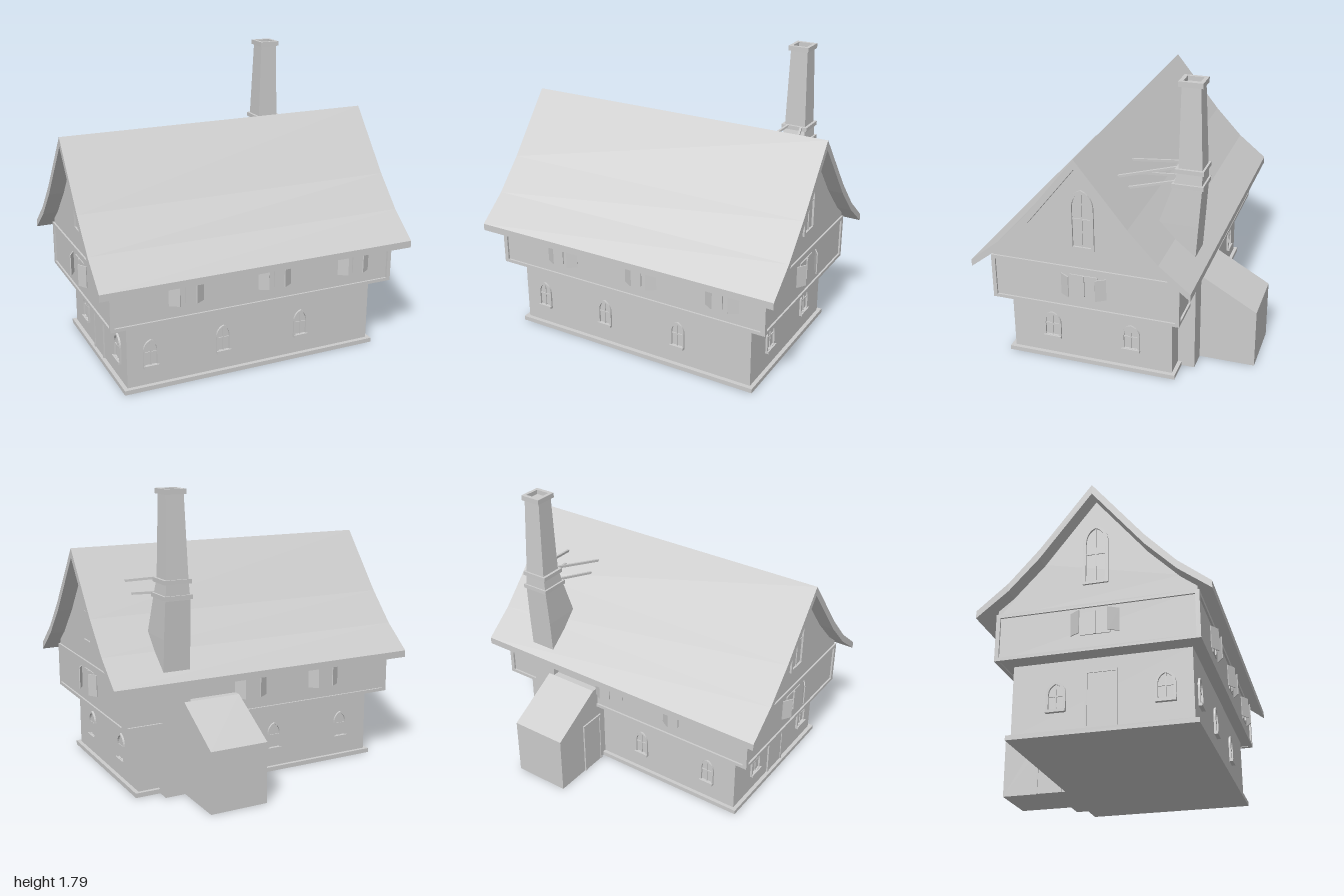
import * as THREE from 'three';

const mat = new THREE.MeshStandardMaterial({ color: 0xcccccc, flatShading: true, side: THREE.DoubleSide });

function add(parent, name, geo) {
  const m = new THREE.Mesh(geo, mat);
  m.name = name;
  parent.add(m);
  return m;
}

// Box given by its extents
function box(parent, name, x0, x1, y0, y1, z0, z1) {
  const m = add(parent, name, new THREE.BoxGeometry(x1 - x0, y1 - y0, z1 - z0));
  m.position.set((x0 + x1) / 2, (y0 + y1) / 2, (z0 + z1) / 2);
  return m;
}

// Bar between two points
function bar(parent, name, a, b, t) {
  const p = new THREE.Vector3(...a), q = new THREE.Vector3(...b);
  const m = add(parent, name, new THREE.BoxGeometry(t, t, p.distanceTo(q)));
  m.position.copy(p).add(q).multiplyScalar(0.5);
  m.lookAt(q);
  return m;
}

// Outline of [z, y] points extruded along x
function extrudeX(parent, name, pts, x0, x1) {
  const shape = new THREE.Shape(pts.map(([z, y]) => new THREE.Vector2(-z, y)));
  const geo = new THREE.ExtrudeGeometry(shape, { depth: x1 - x0, bevelEnabled: false });
  geo.rotateY(Math.PI / 2).translate(x0, 0, 0);
  return add(parent, name, geo);
}

// Loft through rectangles [y, x0, x1, z0, z1]
function loft(parent, name, sections) {
  const pos = [], idx = [];
  sections.forEach(([y, x0, x1, z0, z1]) => pos.push(x0, y, z1, x1, y, z1, x1, y, z0, x0, y, z0));
  for (let s = 0; s < sections.length - 1; s++) {
    for (let i = 0; i < 4; i++) {
      const a = s * 4 + i, b = s * 4 + (i + 1) % 4;
      idx.push(a, b, b + 4, a, b + 4, a + 4);
    }
  }
  const geo = new THREE.BufferGeometry();
  geo.setAttribute('position', new THREE.Float32BufferAttribute(pos, 3));
  geo.setIndex(idx);
  const flat = geo.toNonIndexed();
  flat.computeVertexNormals();
  return add(parent, name, flat);
}

function arch(w, h, rise, C = THREE.Shape) {
  const s = new C();
  s.moveTo(-w / 2, 0);
  s.lineTo(w / 2, 0);
  s.lineTo(w / 2, h - rise);
  s.quadraticCurveTo(w / 2, h - rise * 0.25, 0, h);
  s.quadraticCurveTo(-w / 2, h - rise * 0.25, -w / 2, h - rise);
  return s;
}

// Group on a wall: local x runs along the wall, local z points outwards
function onWall(parent, name, x, y, z, turn) {
  const g = new THREE.Group();
  g.name = name;
  g.position.set(x, y, z);
  g.rotation.y = turn;
  parent.add(g);
  return g;
}

function archedWindow(g, w, h, rise, sill) {
  const t = w * 0.12, frame = arch(w, h, rise);
  const hole = arch(w - 2 * t, h - 2 * t, rise * 0.9, THREE.Path);
  frame.holes.push(new THREE.Path(hole.getPoints(6).map(p => p.add(new THREE.Vector2(0, t)))));
  add(g, 'windowFrame', new THREE.ExtrudeGeometry(frame, { depth: 0.012, bevelEnabled: false, curveSegments: 6 }));
  box(g, 'mullion', -0.004, 0.004, t, h - t, 0, 0.006);
  box(g, 'crossbar', -w / 2 + t, w / 2 - t, h * 0.5, h * 0.5 + 0.008, 0, 0.006);
  if (sill) box(g, 'sill', -w / 2, w / 2, -0.004, 0.012, 0, 0.022);
}

// Casement window with two shutters ajar
function casement(g, w, h) {
  box(g, 'windowPane', -w / 2 + 0.05, w / 2 - 0.05, 0, h, -0.005, 0.004);
  box(g, 'mullion', -0.005, 0.005, 0, h, 0, 0.012);
  for (const s of [-1, 1]) {
    const hinge = new THREE.Group();
    hinge.name = 'shutter';
    hinge.position.set(s * w / 2, 0, 0);
    hinge.rotation.y = s * 0.55;
    box(hinge, 'shutterPanel', Math.min(0, -s * 0.065), Math.max(0, -s * 0.065), 0, h, 0, 0.006);
    g.add(hinge);
  }
}

function door(g, w, h) {
  box(g, 'doorLeaf', -w / 2, w / 2, 0, h, 0, 0.005);
  for (const s of [-1, 1]) box(g, 'doorJamb', s * w / 2 - 0.006, s * w / 2 + 0.006, 0, h, 0, 0.01);
  box(g, 'doorLintel', -w / 2 - 0.006, w / 2 + 0.006, h - 0.006, h + 0.006, 0, 0.01);
}

export function createModel() {
  const house = new THREE.Group();
  house.name = 'house';
  const R = Math.PI / 2, ridge = 0.142;

  // Storeys
  box(house, 'plinth', -0.83, 0.83, 0, 0.027, -0.38, 0.677);
  box(house, 'groundFloor', -0.805, 0.805, 0.02, 0.44, -0.357, 0.65);
  box(house, 'upperFloor', -0.907, 0.907, 0.432, 0.71, -0.418, 0.705);

  // Timber frame around the upper floor
  for (const [y0, y1] of [[0.428, 0.448], [0.688, 0.71]]) {
    box(house, 'frontBeam', -0.918, 0.918, y0, y1, 0.69, 0.717);
    box(house, 'backBeam', -0.918, 0.918, y0, y1, -0.43, -0.405);
    for (const s of [-1, 1]) box(house, 'sideBeam', s * 0.905 - 0.013, s * 0.905 + 0.013, y0, y1, -0.43, 0.717);
  }
  for (const s of [-1, 1]) for (const z of [-0.418, 0.705]) {
    box(house, 'cornerPost', s * 0.905 - 0.013, s * 0.905 + 0.013, 0.43, 0.71, z - 0.012, z + 0.012);
  }

  // Flared roof and the gable walls below it
  const slope = [[0.658, 0.706], [0.475, 0.855], [0.3, 1.043], [0, 1.418]];
  const under = [[0.658, 0.663], [0.475, 0.805], [0.3, 0.985], [0, 1.36]];
  const side = (pts, s) => pts.map(([d, y]) => [ridge + s * d, y]);
  extrudeX(house, 'roof', [
    ...side(slope, 1), ...side(slope.slice(0, 3), -1).reverse(),
    ...side(under, -1), ...side(under.slice(0, 3), 1).reverse(),
  ], -1, 1);
  const wall = [[0.565, 0.69], [0.565, 0.74], [0.475, 0.815], [0.3, 0.995], [0, 1.37]];
  extrudeX(house, 'gableWalls', [...side(wall, 1), ...side(wall.slice(0, 4), -1).reverse()], -0.907, 0.907);

  // Ground floor windows
  const low = (x, z, turn, w) => archedWindow(onWall(house, 'archedWindow', x, 0.14, z, turn), w, 0.172, 0.07, true);
  for (const x of [-0.66, -0.2, 0.32]) low(x, 0.65, 0, 0.095);
  for (const x of [-0.61, -0.115]) low(x, -0.357, Math.PI, 0.095);
  for (const z of [0.395, -0.105]) low(0.805, z, R, 0.112);
  for (const z of [0.5, -0.105]) low(-0.805, z, -R, 0.112);

  // Upper floor windows
  const high = (x, z, turn, w) => casement(onWall(house, 'casementWindow', x, 0.525, z, turn), w, 0.135);
  for (const x of [-0.46, 0.105, 0.645]) high(x, 0.707, 0, 0.21);
  for (const x of [-0.43, 0.09]) high(x, -0.42, Math.PI, 0.21);
  for (const s of [-1, 1]) {
    high(s * 0.909, ridge, s * R, 0.27);
    archedWindow(onWall(house, 'gableWindow', s * 0.907, 0.83, ridge, s * R), 0.145, 0.37, 0.11, false);
  }

  // Side door
  door(onWall(house, 'sideDoor', -0.805, 0.02, 0.15, -R), 0.17, 0.33);

  // Lean-to shed at the back
  extrudeX(house, 'shed', [[-0.34, 0], [-0.34, 0.565], [-0.46, 0.565], [-0.8, 0.37], [-0.8, 0]], 0.19, 0.55);
  door(onWall(house, 'shedDoor', 0.19, 0, -0.49, -R), 0.16, 0.35);

  // Chimney: base, flared stack, bands and hollow cap
  const chimney = new THREE.Group();
  chimney.name = 'chimney';
  house.add(chimney);
  box(chimney, 'chimneyBase', 0.51, 0.675, 0, 0.74, -0.46, -0.35);
  loft(chimney, 'chimneyStack', [
    [0.72, 0.51, 0.675, -0.452, -0.17], [0.95, 0.51, 0.675, -0.467, -0.235],
    [1.17, 0.515, 0.67, -0.482, -0.312], [1.29, 0.525, 0.66, -0.48, -0.343],
    [1.78, 0.54, 0.648, -0.46, -0.352],
  ]);
  box(chimney, 'lowerBand', 0.505, 0.68, 1.175, 1.2, -0.492, -0.308);
  box(chimney, 'upperBand', 0.508, 0.677, 1.265, 1.29, -0.492, -0.325);
  const cap = new THREE.Shape();
  cap.moveTo(-0.065, -0.07).lineTo(0.065, -0.07).lineTo(0.065, 0.07).lineTo(-0.065, 0.07);
  const flue = new THREE.Path();
  flue.moveTo(-0.045, -0.047).lineTo(-0.045, 0.047).lineTo(0.045, 0.047).lineTo(0.045, -0.047);
  cap.holes.push(flue);
  const rim = add(chimney, 'chimneyCap', new THREE.ExtrudeGeometry(cap, { depth: 0.03, bevelEnabled: false }));
  rim.rotation.x = -R;
  rim.position.set(0.594, 1.762, -0.405);
  box(chimney, 'flueFloor', 0.542, 0.646, 1.755, 1.765, -0.458, -0.354);

  // Iron stays from the chimney to the roof
  for (const s of [-1, 1]) {
    bar(chimney, 'upperStay', [0.594 + s * 0.045, 1.285, -0.33], [0.594 + s * 0.125, 1.222, -0.005], 0.014);
    bar(chimney, 'lowerStay', [0.594 + s * 0.045, 1.197, -0.315], [0.594 + s * 0.108, 1.152, -0.06], 0.014);
  }
  return house;
}
